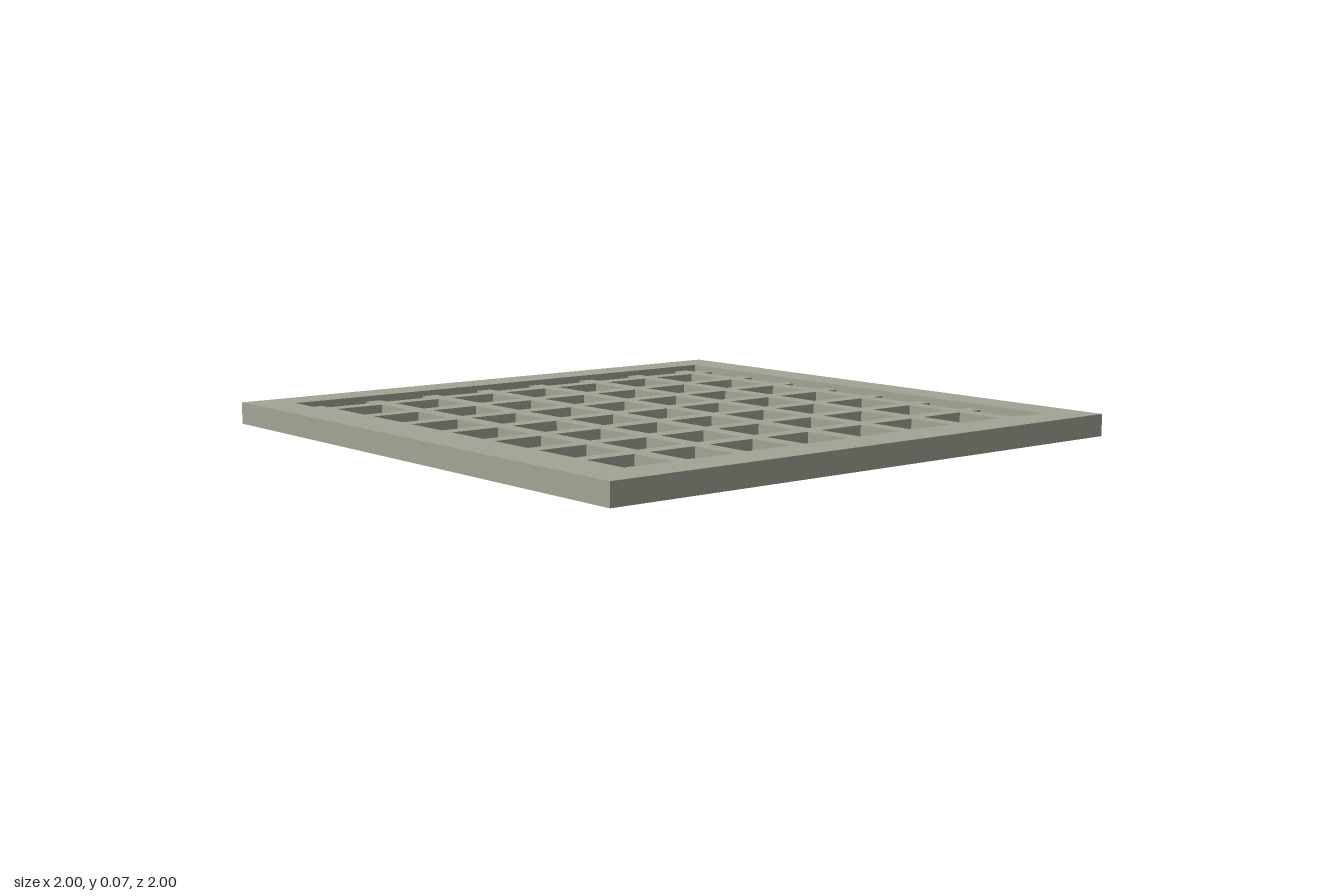
import * as THREE from 'three';

const HEIGHT = 0.072;      // frame thickness
const INNER = 0.87;        // half-width of the frame opening
const BAR = 0.056;         // bar width
const BARS = 8;            // bars in each direction
const PITCH = 0.228;
const BAR_Y = 0.018, BAR_H = 0.036;

const rect = (Kind, x0, z0, x1, z1) => new Kind([
  new THREE.Vector2(x0, z0), new THREE.Vector2(x1, z0),
  new THREE.Vector2(x1, z1), new THREE.Vector2(x0, z1),
]);

// Flat plate lying on the ground plane, extruded upwards
function plate(name, shape, y, height, material) {
  const geometry = new THREE.ExtrudeGeometry(shape, { depth: height, bevelEnabled: false });
  geometry.rotateX(-Math.PI / 2).translate(0, y, 0);
  const mesh = new THREE.Mesh(geometry, material);
  mesh.name = name;
  return mesh;
}

export function createModel() {
  const group = new THREE.Group();
  group.name = 'grate';
  const material = new THREE.MeshStandardMaterial({ color: 0xa3a494 });

  // Square outer frame
  const frame = rect(THREE.Shape, -1, -1, 1, 1);
  frame.holes.push(rect(THREE.Path, -INNER, -INNER, INNER, INNER));
  group.add(plate('frame', frame, 0, HEIGHT, material));

  // Openings between bars; the outermost ones run just into the frame
  const gaps = [];
  for (let i = 0; i <= BARS; i++) {
    const centre = (i - BARS / 2) * PITCH;
    const half = (PITCH - BAR) / 2;
    gaps.push([
      Math.max(centre - half, -INNER - 0.01),
      Math.min(centre + half, INNER + 0.01),
    ]);
  }

  // Recessed lattice of crossing bars, its rim buried in the frame
  const lattice = rect(THREE.Shape, -0.92, -0.92, 0.92, 0.92);
  for (const [x0, x1] of gaps) {
    for (const [z0, z1] of gaps) lattice.holes.push(rect(THREE.Path, x0, z0, x1, z1));
  }
  group.add(plate('latticeBars', lattice, BAR_Y, BAR_H, material));

  return group;
}
